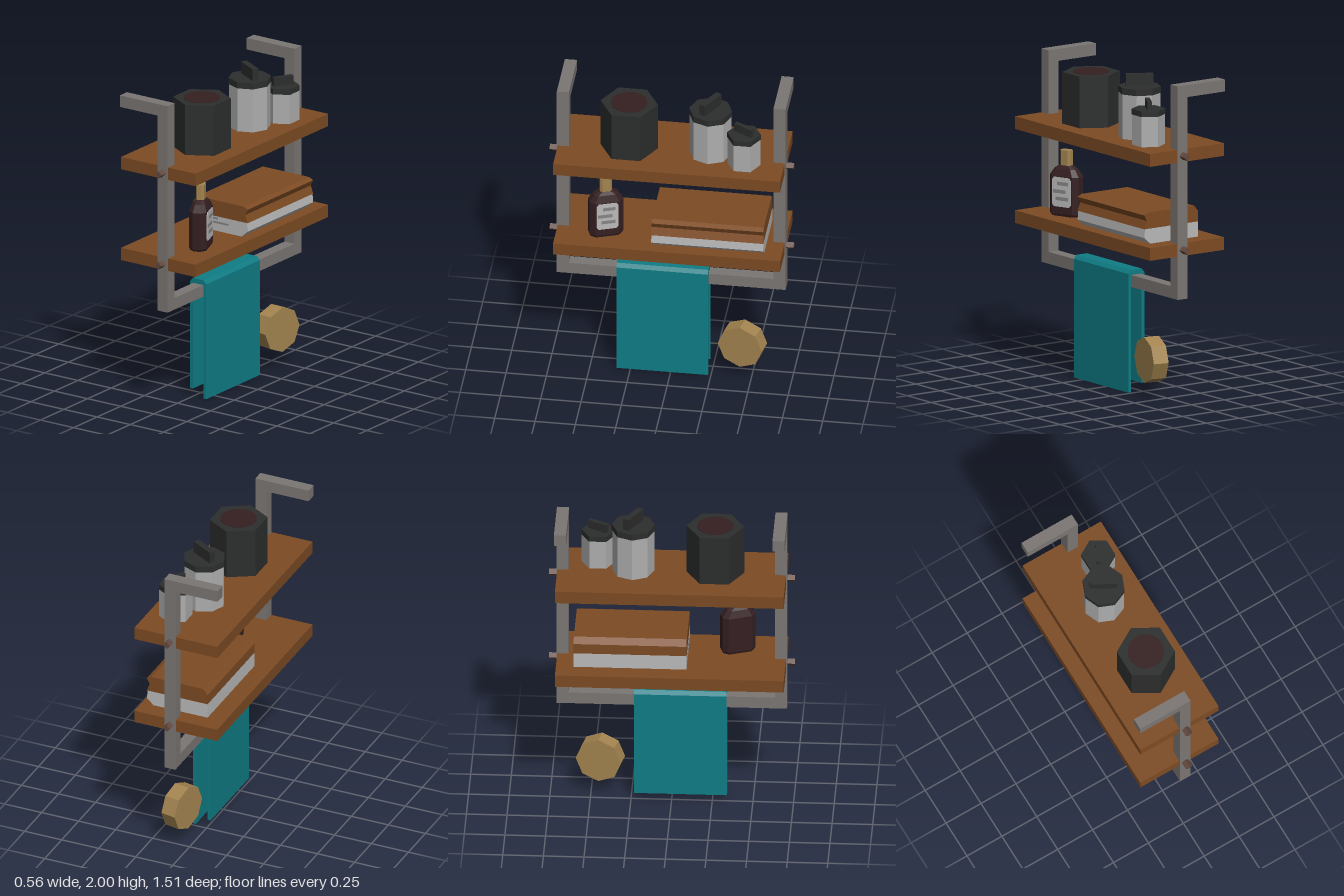
import * as THREE from 'three';

const mat = (name, color) => {
  const m = new THREE.MeshStandardMaterial({ color });
  m.name = name;
  return m;
};

// Faceted normals
function facet(geo) {
  const g = geo.index ? geo.toNonIndexed() : geo;
  g.computeVertexNormals();
  return g;
}

// Flat-sided body through chamfered-rectangle rings: [y, half x, half z, chamfer]
function loft(rings) {
  const pos = [], idx = [], n = 8;
  for (const [y, a, b, c] of rings) {
    const ring = [[a, b - c], [a - c, b], [c - a, b], [-a, b - c], [-a, c - b], [c - a, -b], [a - c, -b], [a, c - b]];
    for (const [x, z] of ring) pos.push(x, y, z);
  }
  for (let r = 0; r < rings.length - 1; r++) {
    for (let i = 0; i < n; i++) {
      const a = r * n + i, b = r * n + (i + 1) % n;
      idx.push(a, a + n, b, b, a + n, b + n);
    }
  }
  const top = (rings.length - 1) * n;
  for (let i = 1; i < n - 1; i++) {
    idx.push(0, i, i + 1);
    idx.push(top, top + i + 1, top + i);
  }
  // rings run from +x to +z, so reverse every triangle that ends up inside out
  const g = new THREE.BufferGeometry();
  g.setAttribute('position', new THREE.Float32BufferAttribute(pos, 3));
  g.setIndex(idx);
  return facet(g);
}

// Side profile in x and y, extruded from z0 to z1
function extrude(points, z0, z1) {
  const shape = new THREE.Shape(points.map(([x, y]) => new THREE.Vector2(x, y)));
  const g = new THREE.ExtrudeGeometry(shape, { depth: z1 - z0, bevelEnabled: false });
  return g.translate(0, 0, z0);
}

export function createModel() {
  const steel = mat('grey steel', 0x7b7673);
  const wood = mat('brown wood', 0x7d4b23);
  const black = mat('black', 0x2c2d2d);
  const metal = mat('light metal', 0xaeaeae);
  const teal = mat('teal cloth', 0x0f7d85);
  const gold = mat('tan', 0xa3844f);
  const darkRed = mat('dark red', 0x351f21);
  const paper = mat('paper', 0xbababa);
  const ink = mat('faded print', 0x858585);
  const pegBrown = mat('peg brown', 0x654a40);

  const model = new THREE.Group();
  const add = (name, geo, material, parent = model) => {
    const m = new THREE.Mesh(geo, material);
    m.name = name;
    parent.add(m);
    return m;
  };
  const box = (name, material, x0, x1, y0, y1, z0, z1, parent) => {
    const m = add(name, new THREE.BoxGeometry(x1 - x0, y1 - y0, z1 - z0), material, parent);
    m.position.set((x0 + x1) / 2, (y0 + y1) / 2, (z0 + z1) / 2);
    return m;
  };
  const prism = (name, material, r, sides, y0, y1, x, z, parent) => {
    const m = add(name, facet(new THREE.CylinderGeometry(r, r, y1 - y0, sides)), material, parent);
    m.position.set(x, (y0 + y1) / 2, z);
    return m;
  };

  // Hanging frame
  for (const s of [-1, 1]) {
    const z0 = s > 0 ? 0.635 : -0.71, z1 = z0 + 0.075;
    box('upright', steel, 0, 0.075, 0.66, 2, z0, z1);
    box('topArm', steel, -0.285, 0, 1.925, 2, z0, z1);
  }
  box('bottomRail', steel, 0, 0.075, 0.66, 0.735, -0.635, 0.635);

  // Shelves with square pegs at both ends
  for (const y of [0.93, 1.52]) {
    box('shelf', wood, -0.28, 0.28, y, y + 0.08, -0.704, 0.704);
    for (const s of [-1, 1]) {
      const peg = add('peg', facet(new THREE.CylinderGeometry(0.024, 0.024, 0.06, 4)), pegBrown);
      peg.rotation.x = Math.PI / 2;
      peg.position.set(0.038, y + 0.04, s * 0.727);
    }
  }

  // Six-sided pot with a dark filling
  prism('pot', black, 0.178, 6, 1.6, 1.924, 0.02, 0.268);
  prism('potFilling', darkRed, 0.112, 20, 1.92, 1.927, 0.02, 0.268);

  // Lidded canisters: x, z, radius, sides, lid bottom, lid top, handle top, length, width, turn
  for (const [x, z, r, sides, y1, y2, y3, len, w, turn] of [
    [0.02, -0.237, 0.133, 8, 1.88, 1.92, 1.995, 0.17, 0.04, -0.52],
    [0.113, -0.457, 0.105, 6, 1.79, 1.825, 1.88, 0.13, 0.028, 1.05],
  ]) {
    const can = new THREE.Group();
    can.name = 'canister';
    model.add(can);
    prism('canisterBody', metal, r * 0.975, sides, 1.6, y1, x, z, can);
    prism('canisterLid', black, r, sides, y1, y2, x, z, can);
    const grip = box('lidHandle', black, x - len / 2, x + len / 2, y2, y3, z - w / 2, z + w / 2, can);
    grip.rotation.y = turn;
  }

  // Flat bottle, turned slightly, with a printed label
  const bottle = new THREE.Group();
  bottle.name = 'bottle';
  bottle.position.set(0.108, 0, 0.402);
  bottle.rotation.y = 0.35;
  model.add(bottle);
  add('bottleBody', loft([
    [1.01, 0.05, 0.1, 0.03], [1.025, 0.055, 0.106, 0.03], [1.26, 0.055, 0.106, 0.03],
    [1.305, 0.04, 0.075, 0.022], [1.325, 0.027, 0.042, 0.014],
  ]), darkRed, bottle);
  add('bottleCap', loft([[1.325, 0.026, 0.037, 0.012], [1.42, 0.026, 0.037, 0.012]]), gold, bottle);
  const label = extrude([[-0.068, 1.085], [-0.055, 1.07], [0.055, 1.07], [0.068, 1.085],
    [0.068, 1.24], [0.055, 1.255], [-0.055, 1.255], [-0.068, 1.24]], 0, 0.004);
  label.rotateY(Math.PI / 2);
  add('label', label, paper, bottle).position.x = 0.055;
  for (const [y, z0, z1] of [[1.11, -0.05, 0.04], [1.155, -0.03, 0.06], [1.205, -0.05, 0.03]]) {
    box('labelPrint', ink, 0.058, 0.061, y, y + 0.022, z0, z1, bottle);
  }

  // Folded cloth bundle: brown upper fold on a pale lower one
  add('upperFold', extrude([[-0.165, 1.105], [0.245, 1.105], [0.226, 1.155], [0.245, 1.192],
    [0.215, 1.207], [-0.135, 1.207], [-0.165, 1.17]], -0.595, 0.1), wood);
  add('lowerFold', extrude([[-0.165, 1.01], [0.2, 1.01], [0.245, 1.05], [0.24, 1.105],
    [-0.165, 1.105]], -0.595, 0.1), paper);
  for (const [y, x0, x1] of [[1.035, -0.16, -0.04], [1.06, -0.1, 0.1], [1.085, -0.15, 0.02]]) {
    box('foldCrease', ink, x0, x1, y, y + 0.012, 0.099, 0.102);
  }

  // Towel draped over the bottom rail
  add('towel', extrude([[0.08, 0], [0.1, 0], [0.1, 0.745], [0.08, 0.768], [0, 0.768], [-0.02, 0.745],
    [-0.02, 0.05], [0, 0.05], [0, 0.737], [0.08, 0.737]], -0.232, 0.337), teal);

  // Eight-sided brush head, tilted a little to the front
  const disc = facet(new THREE.CylinderGeometry(0.144, 0.144, 0.1, 8).rotateZ(-Math.PI / 2));
  const brush = add('brushHead', disc, gold);
  brush.rotation.y = -0.2;
  brush.position.set(0.079, 0.243, -0.443);

  return model;
}
